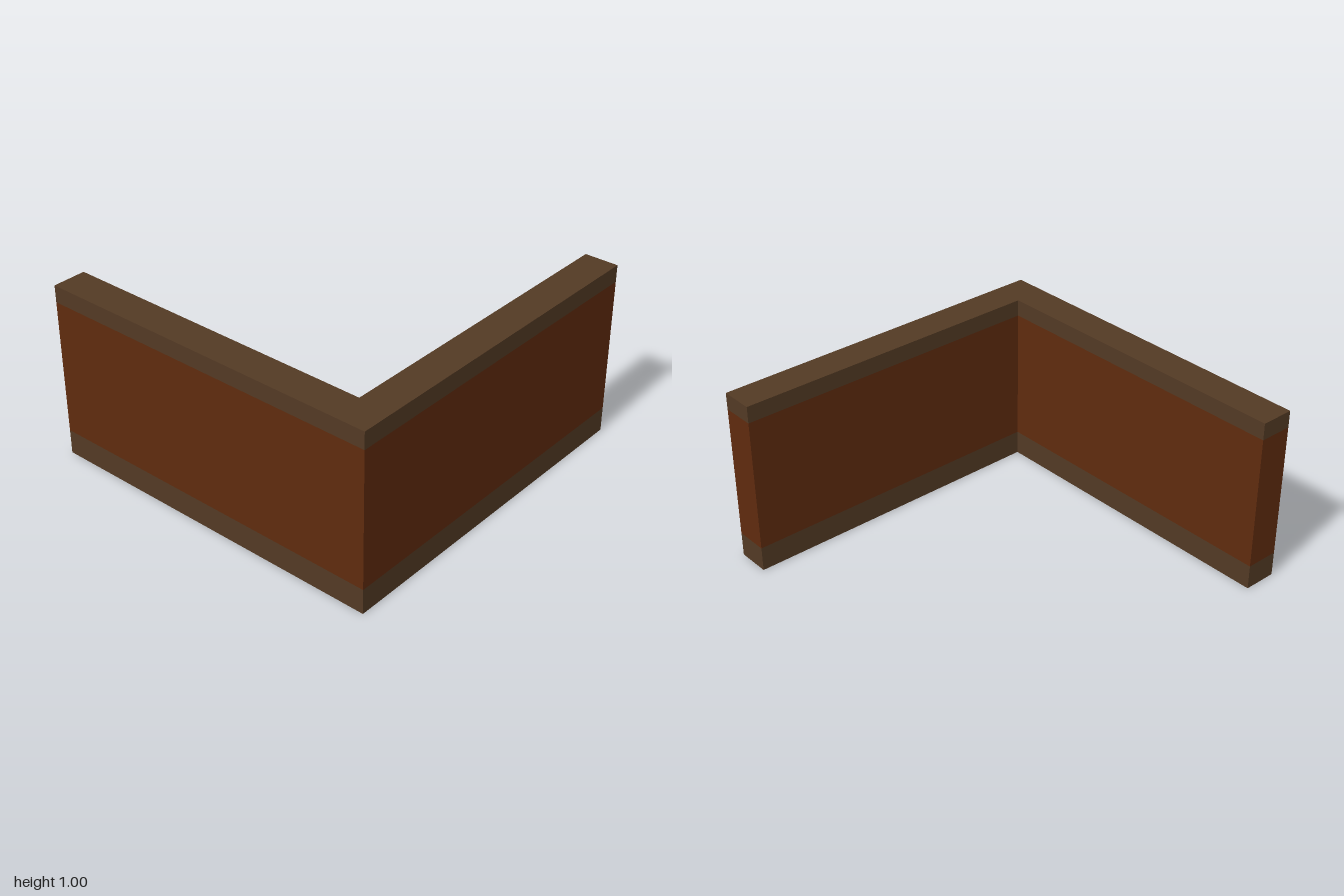
import * as THREE from 'three';
import { mergeGeometries } from 'three/addons/utils/BufferGeometryUtils.js';

// L-shaped plan as [x, z], anticlockwise seen from above
const IN = 0.81;
const PLAN = [[-1, 1], [1, 1], [1, IN], [-IN, IN], [-IN, -1], [-1, -1]];

// Upright faces around the plan between two heights
function band(y0, y1) {
  return mergeGeometries(PLAN.map(([x, z], i) => {
    const [x2, z2] = PLAN[(i + 1) % PLAN.length];
    return new THREE.PlaneGeometry(Math.hypot(x2 - x, z2 - z), y1 - y0)
      .rotateY(Math.atan2(z - z2, x2 - x))
      .translate((x + x2) / 2, (y0 + y1) / 2, (z + z2) / 2);
  }));
}

// Flat face of the plan, facing up (1) or down (-1)
function flat(y, facing) {
  const shape = new THREE.Shape(PLAN.map(([x, z]) => new THREE.Vector2(x, -facing * z)));
  return new THREE.ShapeGeometry(shape).rotateX(-facing * Math.PI / 2).translate(0, y, 0);
}

export function createModel() {
  const trim = new THREE.MeshStandardMaterial({ color: 0x533a24 });
  trim.name = 'brown trim';
  const panel = new THREE.MeshStandardMaterial({ color: 0x5f2b0e });
  panel.name = 'rust panel';

  const group = new THREE.Group();
  group.name = 'cornerWall';
  const add = (name, geometry, material) => {
    const mesh = new THREE.Mesh(geometry, material);
    mesh.name = name;
    group.add(mesh);
  };

  // Base, panel and top rail stacked as bands, closed above and below
  add('baseBand', band(0, 0.14), trim);
  add('wallPanel', band(0.14, 0.905), panel);
  add('topRail', band(0.905, 1), trim);
  add('topFace', flat(1, 1), trim);
  add('underside', flat(0, -1), trim);

  // Thin rust line under the inner edge of the long arm
  add('undersideStripe', new THREE.PlaneGeometry(0.012, 1.79)
    .rotateX(Math.PI / 2).translate(-IN - 0.014, -0.001, -0.1), panel);

  return group;
}
